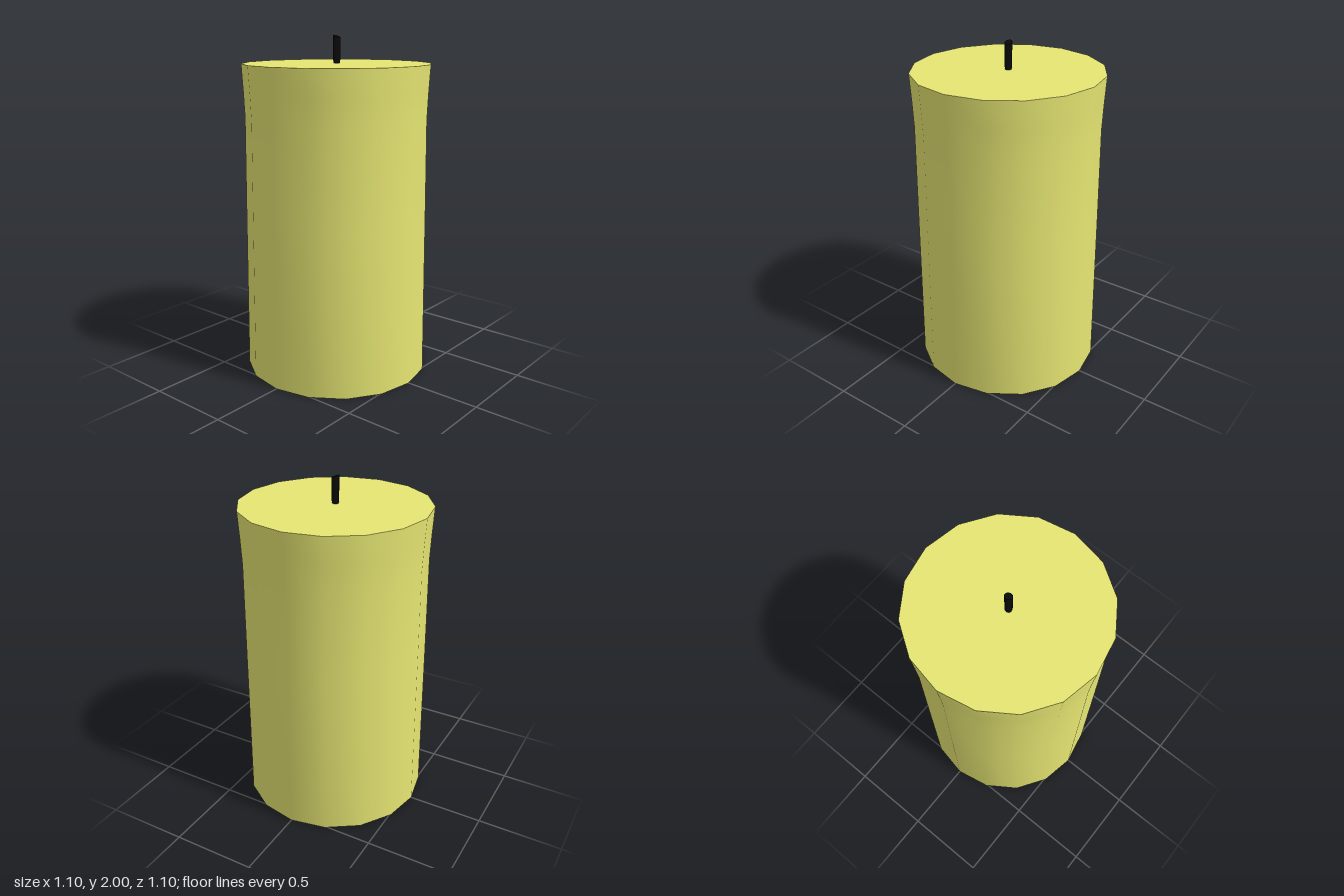
import * as THREE from 'three';
import { toCreasedNormals } from 'three/addons/utils/BufferGeometryUtils.js';

// Closed turned solid from [radius, height] pairs, with sharp rims and smooth sides
function turned(profile, sides) {
  const points = profile.map(([r, y]) => new THREE.Vector2(r, y));
  return new THREE.LatheGeometry(points, sides);
}

function part(name, geometry, color) {
  const material = new THREE.MeshStandardMaterial({ color });
  const mesh = new THREE.Mesh(toCreasedNormals(geometry, 0.9), material);
  mesh.name = name;
  return mesh;
}

export function createModel() {
  const group = new THREE.Group();
  group.name = 'candle';

  // Wax pillar: slight taper upward, then a small flare at the rim
  const wax = turned([
    [0, 0], [0.55, 0], [0.541, 0.97], [0.535, 1.53],
    [0.541, 1.68], [0.55, 1.84], [0, 1.84],
  ], 16);
  group.add(part('waxBody', wax, 0xe6e673));

  // Wick: narrow foot, straight stem, tip cut at a slant
  const wick = turned([
    [0, 1.83], [0.017, 1.83], [0.021, 1.86], [0.022, 1.992], [0, 1.992],
  ], 12);
  const p = wick.attributes.position;
  for (let i = 0; i < p.count; i++) {
    if (p.getY(i) > 1.9) p.setY(i, p.getY(i) - p.getZ(i) * 0.36);
  }
  group.add(part('wick', wick, 0x0a0a0a));

  return group;
}
